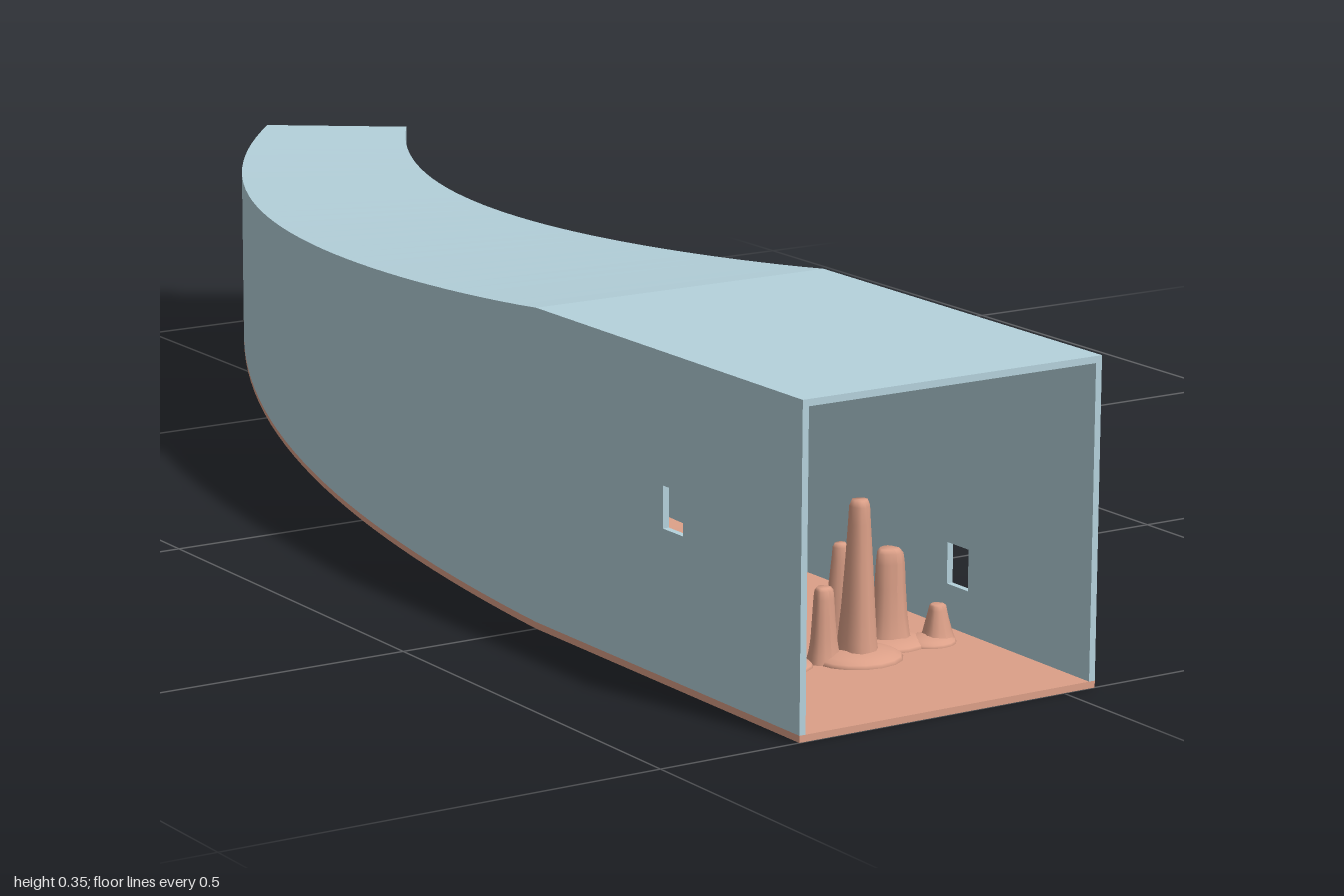
import * as THREE from 'three';

const W = 0.373, H = 0.355, T = 0.0075;   // mouth width, mouth height, panel thickness
const CX = -0.1465, BEND = 0.5, RUN = 1.445;

// Cross-section frame at z: the tunnel bends, rises and halves in size behind z = 0.5
function frameAt(z) {
  const u = Math.max(0, (BEND - z) / RUN);
  const angle = Math.atan(0.725 * Math.pow(u, 1.6));
  return {
    x: CX + 0.402 * Math.pow(u, 2.6), y: 0.086 * Math.pow(u, 1.5), z,
    c: Math.cos(angle), s: Math.sin(angle), scale: 1 - 0.5 * u,
  };
}

function stations(from, to, n) {
  return Array.from({ length: n + 1 }, (_, i) => from + (to - from) * i / n);
}

// Sweep a rectangle of the cross-section along the tunnel
function sweep(x0, x1, y0, y1, zs) {
  const rings = zs.map(z => {
    const f = frameAt(z);
    return [[x0, y0], [x1, y0], [x1, y1], [x0, y1]].map(([a, b]) => [
      f.x + a * f.scale * f.c, f.y + b * f.scale, f.z + a * f.scale * f.s]);
  });
  const pos = [];
  const quad = (a, b, c, d) => pos.push(...a, ...b, ...c, ...a, ...c, ...d);
  const first = rings[0], last = rings[rings.length - 1];
  quad(first[0], first[1], first[2], first[3]);
  for (let i = 0; i < rings.length - 1; i++) {
    const p = rings[i], q = rings[i + 1];
    for (let k = 0; k < 4; k++) quad(p[k], q[k], q[(k + 1) % 4], p[(k + 1) % 4]);
  }
  quad(last[0], last[3], last[2], last[1]);
  const geo = new THREE.BufferGeometry();
  geo.setAttribute('position', new THREE.Float32BufferAttribute(pos, 3));
  geo.computeVertexNormals();
  return geo;
}

// Straight wall panel with a small window, drawn in the z-y plane
function windowPanel(xLow, windowY) {
  const shape = new THREE.Shape();
  shape.moveTo(-1, T).lineTo(-BEND, T).lineTo(-BEND, H - T).lineTo(-1, H - T).closePath();
  const hole = new THREE.Path();
  const z0 = -0.786, z1 = -0.748, y0 = windowY - 0.023, y1 = windowY + 0.023;
  hole.moveTo(z0, y0).lineTo(z0, y1).lineTo(z1, y1).lineTo(z1, y0).closePath();
  shape.holes.push(hole);
  const geo = new THREE.ExtrudeGeometry(shape, { depth: T, bevelEnabled: false });
  geo.rotateY(Math.PI / 2);
  geo.translate(xLow, 0, 0);
  return geo;
}

// Irregular tapering rock spire
function spire(h, rBase, rTop, seed) {
  const profile = [[rBase * 1.08, 0], [rBase * 0.95, 0.12], [rBase * 0.82, 0.32],
    [rBase * 0.45 + rTop * 0.45, 0.6], [rTop * 1.1, 0.85], [rTop, 0.96], [rTop * 0.75, 1], [0, 1]];
  const geo = new THREE.LatheGeometry(profile.map(([r, y]) => new THREE.Vector2(r, y * h)), 14);
  const p = geo.attributes.position;
  for (let i = 0; i < p.count; i++) {
    const x = p.getX(i), z = p.getZ(i), a = Math.atan2(z, x + 1e-9), y = p.getY(i) / h;
    const k = 1 + 0.08 * Math.cos(3 * a + seed) + 0.05 * Math.cos(5 * a + seed * 2 + y * 3);
    p.setX(i, x * k);
    p.setZ(i, z * k);
  }
  geo.computeVertexNormals();
  return geo;
}

export function createModel() {
  const model = new THREE.Group();
  model.name = 'tunnel';
  const panelBlue = new THREE.MeshStandardMaterial({ color: 0xb5d2dc });
  panelBlue.name = 'paleBlue';
  const rock = new THREE.MeshStandardMaterial({ color: 0xdca088 });
  rock.name = 'sandstone';
  const add = (name, geo, mat, parent = model) => {
    const m = new THREE.Mesh(geo, mat);
    m.name = name;
    parent.add(m);
    return m;
  };

  // Shell: floor, roof, bent walls, windowed walls and end panel
  const end = BEND - RUN;
  const bend = stations(BEND, end, 36), full = [1, ...bend], half = W / 2;
  add('floor', sweep(-half, half, 0, T, full), rock);
  add('roof', sweep(-half, half, H - T, H, full), panelBlue);
  add('rightWallBend', sweep(-half, -half + T, T, H - T, bend), panelBlue);
  add('leftWallBend', sweep(half - T, half, T, H - T, bend), panelBlue);
  add('rightWindowWall', windowPanel(CX - half, 0.19), panelBlue);
  add('leftWindowWall', windowPanel(CX + half - T, 0.078), panelBlue);
  add('endPanel', sweep(-half + T, half - T, T, H - T, [end + 0.006, end]), panelBlue);

  // Rock garden: x, z, height, base radius, top radius
  const garden = new THREE.Group();
  garden.name = 'rockGarden';
  model.add(garden);
  [[-0.288, 0.775, 0.14, 0.016, 0.010], [-0.252, 0.785, 0.068, 0.014, 0.008],
    [-0.205, 0.78, 0.1, 0.017, 0.009], [-0.158, 0.79, 0.081, 0.017, 0.010],
    [-0.12, 0.8, 0.173, 0.022, 0.011], [-0.102, 0.74, 0.11, 0.017, 0.008],
    [-0.06, 0.77, 0.105, 0.022, 0.014], [-0.01, 0.79, 0.041, 0.018, 0.009],
  ].forEach(([x, z, h, rb, rt], i) => {
    add('rockSpire', spire(h, rb, rt, i * 1.7), rock, garden).position.set(x, T, z);
  });

  // Low mounds around the spires: x, z, radius, height
  [[-0.12, 0.8, 0.05, 0.013], [-0.21, 0.78, 0.04, 0.008], [-0.06, 0.77, 0.045, 0.011],
    [-0.28, 0.78, 0.03, 0.006], [-0.02, 0.79, 0.03, 0.009],
  ].forEach(([x, z, r, h]) => {
    const geo = new THREE.SphereGeometry(1, 16, 5, 0, Math.PI * 2, 0, Math.PI / 2);
    const mound = add('rockMound', geo, rock, garden);
    mound.scale.set(r, h, r * 0.9);
    mound.position.set(x, T, z);
  });
  return model;
}
